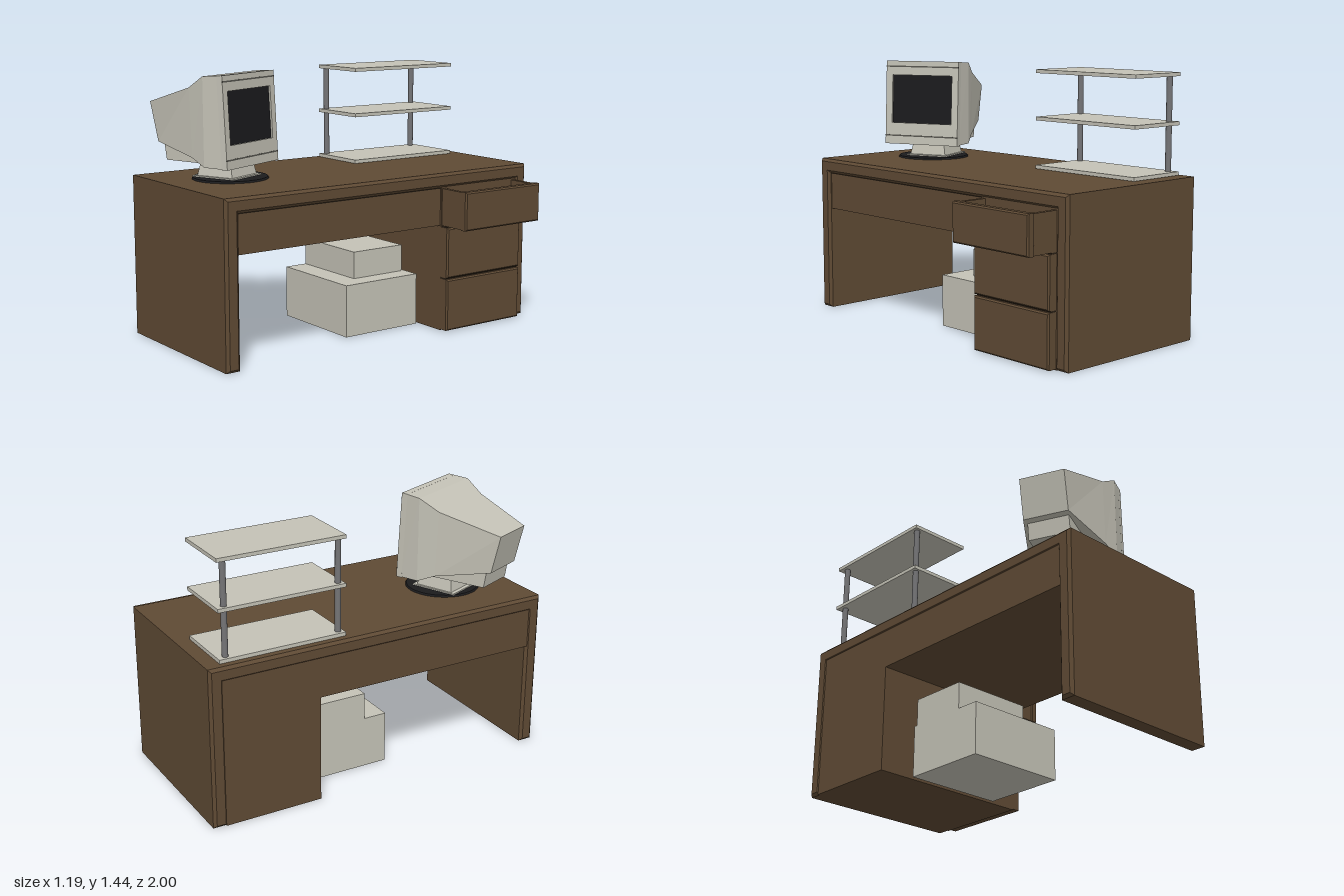
import * as THREE from 'three';

const mat = (name, color) => {
  const m = new THREE.MeshStandardMaterial({ color });
  m.name = name;
  return m;
};

export function createModel() {
  const wood = mat('brown wood', 0x5f4a34);
  const groove = mat('dark groove', 0x2c2217);
  const beige = mat('beige plastic', 0xc4c2b6);
  const metal = mat('grey metal', 0x747476);
  const black = mat('black glass', 0x1b1b1d);
  const seam = mat('grey seam', 0x55544e);

  const root = new THREE.Group();
  root.name = 'computerDesk';
  const add = (parent, name, geo, material) => {
    const m = new THREE.Mesh(geo, material);
    m.name = name;
    parent.add(m);
    return m;
  };
  // Box given by its extents on each axis
  const box = (parent, name, material, [x0, x1], [y0, y1], [z0, z1]) => {
    const m = add(parent, name, new THREE.BoxGeometry(x1 - x0, y1 - y0, z1 - z0), material);
    m.position.set((x0 + x1) / 2, (y0 + y1) / 2, (z0 + z1) / 2);
    return m;
  };
  // Bevelled outline given as [z, y] points, extruded from x0 to x1
  const slab = (parent, name, material, pts, x0, x1, b) => {
    const shape = new THREE.Shape(pts.map(([z, y]) => new THREE.Vector2(-z, y)));
    const geo = new THREE.ExtrudeGeometry(shape, {
      depth: x1 - x0 - 2 * b, bevelEnabled: true, bevelThickness: b,
      bevelSize: b, bevelOffset: -b, bevelSegments: 1,
    });
    geo.rotateY(Math.PI / 2).translate(x0 + b, 0, 0);
    return add(parent, name, geo, material);
  };
  const rect = (z0, z1, y0, y1) => [[z0, y0], [z1, y0], [z1, y1], [z0, y1]];
  // Four-sided loft, sections front to back: [zTop, zBottom, halfWidth, yTop, yBottom]
  const loft = (parent, name, material, sections) => {
    const pos = [], idx = [];
    for (const [zt, zb, h, yt, yb] of sections) pos.push(-h, yb, zb, h, yb, zb, h, yt, zt, -h, yt, zt);
    for (let i = 0; i < sections.length - 1; i++) {
      for (let j = 0; j < 4; j++) {
        const a = i * 4 + j, b = i * 4 + (j + 1) % 4;
        idx.push(a, a + 4, b + 4, a, b + 4, b);
      }
    }
    const n = (sections.length - 1) * 4;
    idx.push(0, 1, 2, 0, 2, 3, n, n + 2, n + 1, n, n + 3, n + 2);
    let geo = new THREE.BufferGeometry();
    geo.setAttribute('position', new THREE.Float32BufferAttribute(pos, 3));
    geo.setIndex(idx);
    geo = geo.toNonIndexed();
    geo.computeVertexNormals();
    return add(parent, name, geo, material);
  };

  // Desk: bevelled frame, wide apron and drawer pedestal
  const desk = new THREE.Group();
  desk.name = 'desk';
  root.add(desk);
  slab(desk, 'deskFrame', wood, [
    [-1, 0], [-0.92, 0], [-0.92, 0.8], [0.92, 0.8], [0.92, 0], [1, 0], [1, 0.88], [-1, 0.88],
  ], -0.57, 0.4, 0.015);
  box(desk, 'apron', wood, [-0.565, 0.38], [0.59, 0.81], [-0.39, 0.93]);
  box(desk, 'apronTopGap', groove, [0.375, 0.383], [0.795, 0.801], [-0.38, 0.92]);
  box(desk, 'pedestal', wood, [-0.565, 0.39], [0, 0.81], [-0.93, -0.38]);
  for (const y of [0.297, 0.585]) {
    box(desk, 'drawerGap', groove, [0.385, 0.425], [y - 0.006, y + 0.006], [-0.918, -0.384]);
  }
  slab(desk, 'bottomDrawerFront', wood, rect(-0.92, -0.38, 0.005, 0.294), 0.38, 0.445, 0.008);
  slab(desk, 'middleDrawerFront', wood, rect(-0.92, -0.38, 0.302, 0.582), 0.38, 0.445, 0.008);

  // Open top drawer
  const drawer = new THREE.Group();
  drawer.name = 'openDrawer';
  root.add(drawer);
  slab(drawer, 'openDrawerFront', wood, rect(-0.925, -0.38, 0.588, 0.8), 0.545, 0.592, 0.008);
  box(drawer, 'openDrawerFloor', wood, [0.385, 0.55], [0.59, 0.615], [-0.92, -0.385]);
  for (const z of [-0.92, -0.41]) {
    box(drawer, 'openDrawerSide', wood, [0.385, 0.55], [0.59, 0.796], [z, z + 0.025]);
  }

  // Cases on the floor under the desk
  box(root, 'lowerCase', beige, [-0.37, 0.21], [0.002, 0.29], [-0.355, 0.133]);
  box(root, 'upperCase', beige, [-0.37, 0.1], [0.29, 0.44], [-0.335, 0]);

  // Three-tier shelf on two rear posts
  const shelf = new THREE.Group();
  shelf.name = 'shelf';
  root.add(shelf);
  for (const y of [0.882, 1.147, 1.404]) {
    box(shelf, 'shelfBoard', beige, [-0.525, -0.17], [y, y + 0.02], [-0.92, -0.21]);
  }
  for (const z of [-0.24, -0.875]) {
    const post = add(shelf, 'shelfPost', new THREE.CylinderGeometry(0.016, 0.016, 0.52, 20), metal);
    post.position.set(-0.493, 1.15, z);
  }

  // Monitor, turned towards the seat; local +z is the screen side
  const monitor = new THREE.Group();
  monitor.name = 'monitor';
  monitor.position.set(-0.01, 0, 0.575);
  monitor.rotation.y = 1.967;
  root.add(monitor);
  loft(monitor, 'monitorHousing', beige, [
    [-0.05, -0.025, 0.232, 1.443, 0.964],
    [-0.145, -0.143, 0.24, 1.437, 0.967],
    [-0.255, -0.24, 0.212, 1.373, 1.008],
    [-0.585, -0.535, 0.122, 1.278, 1.065],
  ]);
  loft(monitor, 'monitorUnderside', beige, [
    [-0.1, -0.1, 0.14, 1.05, 0.968],
    [-0.505, -0.487, 0.112, 1.08, 0.968],
  ]);

  // Bezel with screen, leaning slightly back
  const face = new THREE.Group();
  face.name = 'monitorFace';
  face.position.set(0, 1.203, -0.014);
  face.rotation.x = -0.055;
  monitor.add(face);
  const W = 0.233, H = 0.242;
  const frame = new THREE.Shape([[-W, -H], [W, -H], [W, H], [-W, H]].map(p => new THREE.Vector2(...p)));
  const [sx, y0, y1] = [0.192, -0.118, 0.16];
  frame.holes.push(new THREE.Path([[-sx, y0], [-sx, y1], [sx, y1], [sx, y0]].map(p => new THREE.Vector2(...p))));
  const bezel = add(face, 'bezel', new THREE.ExtrudeGeometry(frame, { depth: 0.035, bevelEnabled: false }), beige);
  bezel.position.z = -0.035;
  box(face, 'screen', black, [-sx, sx], [y0, y1], [-0.018, -0.01]);
  for (const y of [-0.193, 0.21]) {
    box(face, 'bezelSeam', seam, [-W - 0.001, W + 0.001], [y - 0.004, y + 0.004], [-0.004, 0.001]);
  }

  // Swivel stand
  const disc = add(root, 'standDisc', new THREE.CylinderGeometry(0.2, 0.205, 0.01, 40), black);
  disc.position.set(-0.155, 0.886, 0.63);
  const stand = new THREE.Group();
  stand.name = 'stand';
  stand.position.set(-0.18, 0, 0.635);
  stand.rotation.y = 1.967;
  root.add(stand);
  const neck = add(stand, 'standNeck',
    new THREE.CylinderGeometry(0.135, 0.16, 0.09, 4, 1).rotateY(Math.PI / 4).toNonIndexed(), beige);
  neck.geometry.computeVertexNormals();
  neck.position.y = 0.94;
  box(stand, 'standFoot', beige, [-0.125, 0.125], [0.888, 0.898], [-0.135, 0.135]);

  return root;
}
